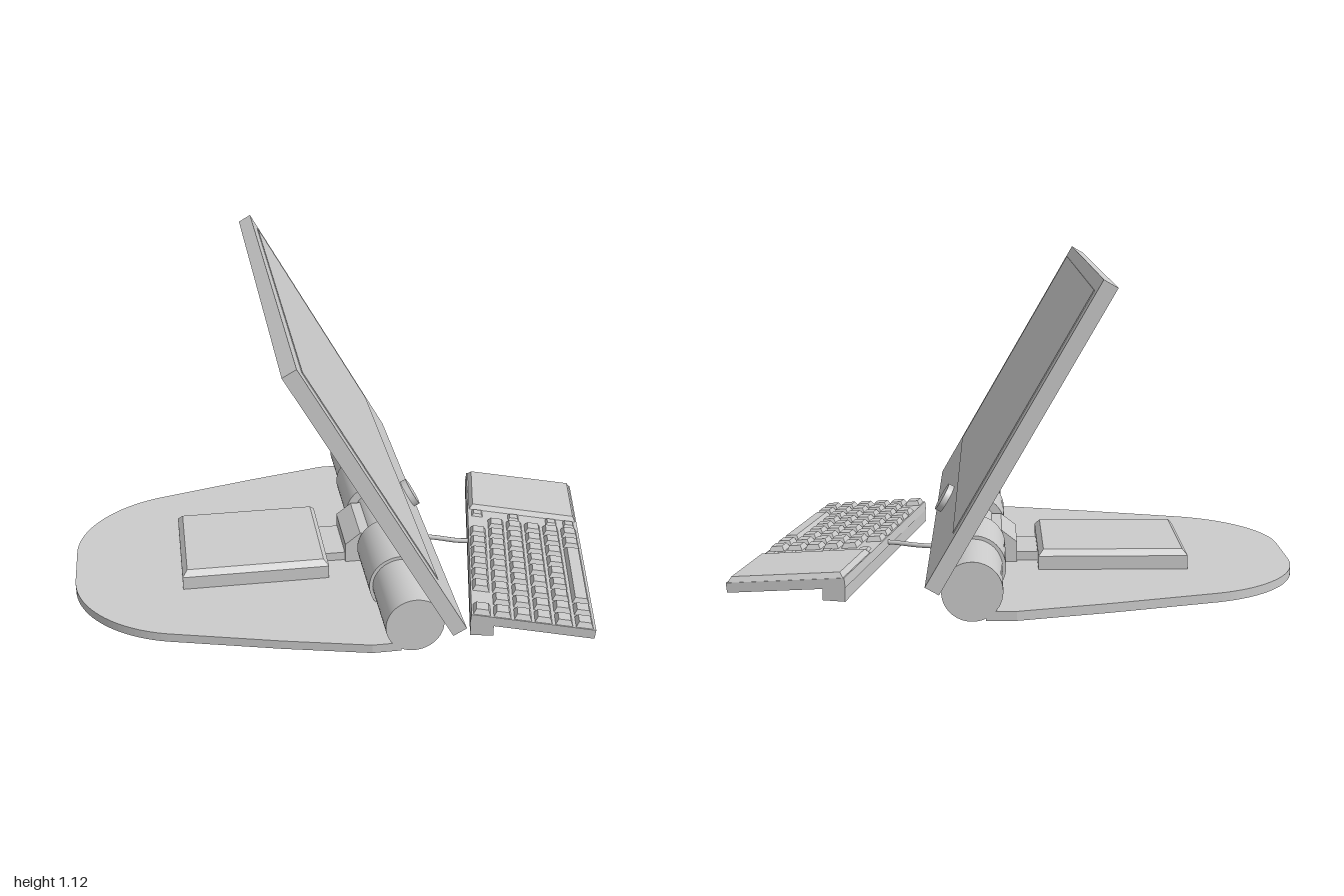
import * as THREE from 'three';

const mat = new THREE.MeshStandardMaterial({ color: 0xcccccc });

function add(parent, name, geometry, x = 0, y = 0, z = 0) {
  const mesh = new THREE.Mesh(geometry, mat);
  mesh.name = name;
  mesh.position.set(x, y, z);
  parent.add(mesh);
  return mesh;
}

const box = (w, h, d) => new THREE.BoxGeometry(w, h, d);

// Box standing on y = 0 whose top is drawn in by `inset` on every side
function taperedBox(w, h, d, inset) {
  const g = box(w, h, d).translate(0, h / 2, 0);
  const p = g.attributes.position;
  for (let i = 0; i < p.count; i++) {
    if (p.getY(i) < h / 2) continue;
    p.setX(i, p.getX(i) - Math.sign(p.getX(i)) * inset);
    p.setZ(i, p.getZ(i) - Math.sign(p.getZ(i)) * inset);
  }
  g.computeVertexNormals();
  return g;
}

const drum = (r, length) => new THREE.CylinderGeometry(r, r, length, 48).rotateX(Math.PI / 2);

function createBase() {
  const base = new THREE.Group();
  base.name = 'base';

  // Foot plate: flared straight sides and a rounded far end
  const s = new THREE.Shape();
  s.moveTo(0.1, 0.655);
  s.lineTo(0.0, 0.655);
  s.lineTo(-0.3, 0.585);
  s.lineTo(-0.68, 0.485);
  s.bezierCurveTo(-0.87, 0.43, -1, 0.27, -1, 0.1);
  s.lineTo(-1, -0.1);
  s.bezierCurveTo(-1, -0.27, -0.87, -0.43, -0.68, -0.485);
  s.lineTo(-0.3, -0.585);
  s.lineTo(0.0, -0.655);
  s.lineTo(0.1, -0.655);
  s.closePath();
  const plate = new THREE.ExtrudeGeometry(s, { depth: 0.032, bevelEnabled: false, curveSegments: 24 });
  add(base, 'footPlate', plate.rotateX(Math.PI / 2), 0, 0.048, 0);

  // Raised housing with chamfered lid, and its cover underneath
  add(base, 'housing', box(0.53, 0.05, 0.43), -0.35, 0.072, 0);
  add(base, 'housingLid', taperedBox(0.53, 0.021, 0.43, 0.018), -0.35, 0.097, 0);
  add(base, 'undersideCover', box(0.53, 0.004, 0.43), -0.35, 0.015, 0);
  add(base, 'connector', box(0.1, 0.034, 0.2), -0.05, 0.063, 0);

  // Hub block between the hinge drums
  const h = new THREE.Shape([
    [-0.01, 0.045], [0.16, 0.045], [0.16, 0.165], [0.045, 0.165], [-0.01, 0.122],
  ].map(([x, y]) => new THREE.Vector2(x, y)));
  const hub = new THREE.ExtrudeGeometry(h, { depth: 0.23, bevelEnabled: false });
  add(base, 'hub', hub, 0, 0, -0.115);
  return base;
}

function createHinge() {
  const hinge = new THREE.Group();
  hinge.name = 'hinge';
  hinge.position.set(0.144, 0.115, 0);
  add(hinge, 'hingeCore', drum(0.08, 0.28));
  for (const side of [-1, 1]) {
    add(hinge, 'innerDrum', drum(0.112, 0.265), 0, 0, side * 0.2655);
    add(hinge, 'outerDrum', drum(0.1, 0.262), 0, 0, side * 0.527);
  }
  return hinge;
}

// Local +x is the display's facing direction, +y runs up the panel
function createScreen() {
  const screen = new THREE.Group();
  screen.name = 'screen';
  screen.position.set(0.29, 0.171, 0);
  screen.rotation.z = 0.519;
  add(screen, 'panel', box(0.051, 1.1, 1.56), -0.0255, 0.55, 0);
  add(screen, 'display', box(0.006, 0.876, 1.435), 0, 0.618, 0);
  const knob = new THREE.CylinderGeometry(0.053, 0.053, 0.022, 40).rotateZ(Math.PI / 2);
  add(screen, 'button', knob, 0.011, 0.093, 0);
  return screen;
}

function createKeyboard() {
  const keyboard = new THREE.Group();
  keyboard.name = 'keyboard';
  keyboard.position.set(0.675, 0, 0.125);
  keyboard.rotation.y = -0.217;
  add(keyboard, 'rearFoot', box(0.08, 0.06, 1.04), -0.174, 0.036, 0);

  // Sloping deck carrying the keys
  const deck = new THREE.Group();
  deck.name = 'deck';
  deck.position.y = 0.05;
  deck.rotation.z = -0.105;
  keyboard.add(deck);
  add(deck, 'deckPlate', box(0.43, 0.035, 1.042));
  const top = 0.0175;
  add(deck, 'pad', taperedBox(0.42, 0.018, 0.3, 0.012), 0, top, -0.369);

  // Small function keys
  const smallKey = taperedBox(0.042, 0.01, 0.042, 0.006);
  for (const x of [-0.179, -0.037, 0.111, 0.18]) add(deck, 'functionKey', smallKey, x, top, -0.188);

  // Main key grid, leaving room for the space bar and two corner gaps
  const key = taperedBox(0.06, 0.018, 0.062, 0.009);
  for (let row = 0; row < 9; row++) {
    for (let col = 0; col < 6; col++) {
      const underBar = col === 5 && row >= 2 && row <= 6;
      const gap = col === 0 && (row === 0 || row === 7);
      if (underBar || gap) continue;
      add(deck, 'key', key, -0.179 + col * 0.071, top, -0.117 + row * 0.0753);
    }
  }
  add(deck, 'spaceBar', taperedBox(0.06, 0.018, 0.364, 0.009), 0.176, top, 0.184);
  return keyboard;
}

export function createModel() {
  const model = new THREE.Group();
  model.name = 'desktopComputer';
  model.add(createBase(), createHinge(), createScreen(), createKeyboard());

  // Cable from the hinge to the keyboard
  const path = new THREE.CatmullRomCurve3([
    [0.17, 0.07, -0.01], [0.28, 0.07, 0.005], [0.36, 0.068, 0.03], [0.43, 0.068, 0.06], [0.5, 0.07, 0.075],
  ].map((p) => new THREE.Vector3(...p)));
  add(model, 'cable', new THREE.TubeGeometry(path, 32, 0.009, 10));
  return model;
}
